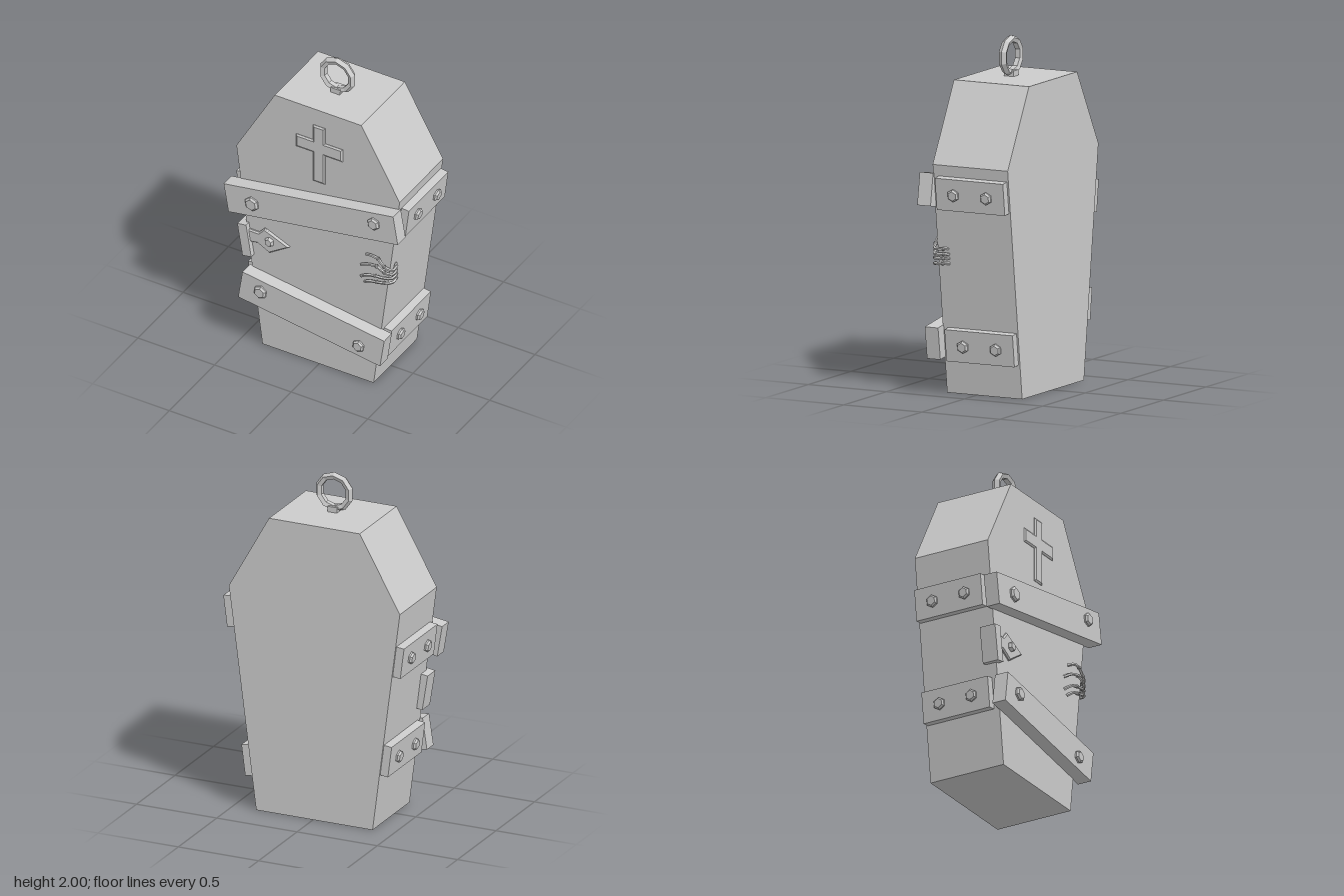
import * as THREE from 'three';

const FRONT = 0.19, SLOPE = 0.127;
const mat = new THREE.MeshStandardMaterial({ color: 0xcccccc, flatShading: true });

function add(parent, name, geometry, x = 0, y = 0, z = 0) {
  const mesh = new THREE.Mesh(geometry, mat);
  mesh.name = name;
  mesh.position.set(x, y, z);
  parent.add(mesh);
  return mesh;
}

function shapeOf(points) {
  return new THREE.Shape(points.map(([x, y]) => new THREE.Vector2(x, y)));
}

// Hexagonal bolt head with a chamfered rim, facing local +z
function addBolt(parent, x, y, z, r) {
  const profile = [[0, -0.01], [r, -0.01], [r, 0.009], [r * 0.74, 0.02], [0, 0.02]]
    .map(([a, b]) => new THREE.Vector2(a, b));
  const bolt = add(parent, 'bolt', new THREE.LatheGeometry(profile, 6), x, y, z);
  bolt.rotation.x = Math.PI / 2;
}

// Board facing local +z, with bolts given as [x, y, radius]
function addPlank(parent, name, length, height, depth, bolts) {
  const plank = new THREE.Group();
  plank.name = name;
  add(plank, 'board', new THREE.BoxGeometry(length, height, depth));
  bolts.forEach(([x, y, r]) => addBolt(plank, x, y, depth / 2, r));
  parent.add(plank);
  return plank;
}

export function createModel() {
  const model = new THREE.Group();
  model.name = 'coffin';

  // Tapered six-sided body
  const outline = shapeOf([[-0.37, 0], [0.355, 0], [0.525, 1.325], [0.275, 1.77], [-0.29, 1.77], [-0.54, 1.325]]);
  add(model, 'body', new THREE.ExtrudeGeometry(outline, { depth: 0.48, bevelEnabled: false }), 0, 0, -0.29);

  // Crooked boards across the front
  const upper = addPlank(model, 'upperFrontPlank', 1.12, 0.187, 0.085, [[-0.388, -0.005, 0.046], [0.422, 0.023, 0.04]]);
  upper.position.set(-0.008, 1.093, 0.2275);
  upper.rotation.z = 0.164;
  const lower = addPlank(model, 'lowerFrontPlank', 0.935, 0.187, 0.085, [[-0.336, 0.019, 0.042], [0.317, -0.021, 0.038]]);
  lower.position.set(-0.005, 0.361, 0.2275);
  lower.rotation.z = -0.147;

  // Short boards bolted to the sloping sides
  for (const [side, y, edge] of [[1, 1.168, 0.505], [1, 0.288, 0.392], [-1, 1.03, 0.502], [-1, 0.425, 0.425]]) {
    const plank = addPlank(model, 'sidePlank', 0.435, 0.185, 0.07, [[-0.105, 0, 0.037], [0.105, 0, 0.037]]);
    plank.position.set(side * (edge + 0.013), y, -0.063);
    plank.rotation.set(0, side * Math.PI / 2, -side * SLOPE, 'ZYX');
  }

  // Raised cross
  const cross = shapeOf([
    [-0.03, 1.28], [0.03, 1.28], [0.03, 1.48], [0.145, 1.48], [0.145, 1.545], [0.03, 1.545],
    [0.03, 1.65], [-0.03, 1.65], [-0.03, 1.545], [-0.14, 1.545], [-0.14, 1.48], [-0.03, 1.48],
  ]);
  add(model, 'cross', new THREE.ExtrudeGeometry(cross, {
    depth: 0.006, bevelThickness: 0.007, bevelSize: 0.01, bevelSegments: 1,
  }), 0, 0, FRONT - 0.004);

  // Hinge: corner block and bolted pointed leaf
  const hinge = new THREE.Group();
  hinge.name = 'hinge';
  model.add(hinge);
  add(hinge, 'hingeBlock', new THREE.BoxGeometry(0.058, 0.213, 0.1), -0.47, 0.707, 0.172).rotation.z = 0.16;
  const leaf = shapeOf([
    [-0.45, 0.70], [-0.395, 0.71], [-0.32, 0.67], [-0.2, 0.747], [-0.35, 0.81], [-0.385, 0.77], [-0.45, 0.77],
  ]);
  add(hinge, 'hingeLeaf', new THREE.ExtrudeGeometry(leaf, {
    depth: 0.012, bevelThickness: 0.008, bevelSize: 0.008, bevelSegments: 1,
  }), 0, 0, FRONT - 0.005);
  addBolt(hinge, -0.315, 0.745, FRONT + 0.015, 0.03);

  // Bony fingers gripping the front edge: [y at edge, mid x, mid y, tip x, tip y]
  const hand = new THREE.Group();
  hand.name = 'bonyHand';
  model.add(hand);
  const fingers = [
    [0.84, 0.40, 0.90, 0.31, 0.885],
    [0.81, 0.39, 0.845, 0.275, 0.80],
    [0.785, 0.38, 0.775, 0.275, 0.72],
    [0.755, 0.39, 0.735, 0.30, 0.69],
  ];
  for (const [y, mx, my, tx, ty] of fingers) {
    const joints = [
      [0.452, y, 0.12], [0.478, y, 0.15], [0.482, y, 0.2], [0.44, y + (my - y) * 0.35, 0.218],
      [mx, my, 0.216], [(mx + tx) / 2, (my + ty) / 2 + 0.012, 0.212], [tx, ty, 0.192],
    ].map((p) => new THREE.Vector3(...p));
    const path = new THREE.CatmullRomCurve3(joints);
    add(hand, 'finger', new THREE.TubeGeometry(path, 14, 0.009, 5));
    // Swollen knuckles
    for (const i of [1, 3, 4]) {
      const knuckle = add(hand, 'knuckle', new THREE.IcosahedronGeometry(0.013, 0));
      knuckle.position.copy(joints[i]);
    }
  }

  // Hanging ring on its foot, faceted with a gentle twist
  const ring = new THREE.TorusGeometry(0.097, 0.021, 5, 10);
  ring.scale(1, 1, 1.2);
  const foot = new THREE.BoxGeometry(0.06, 0.045, 0.06);
  add(model, 'hangingRing', ring, -0.005, 1.884, -0.022).rotation.z = Math.PI / 10;
  add(model, 'ringFoot', foot, -0.005, 1.78, -0.025);

  return model;
}
